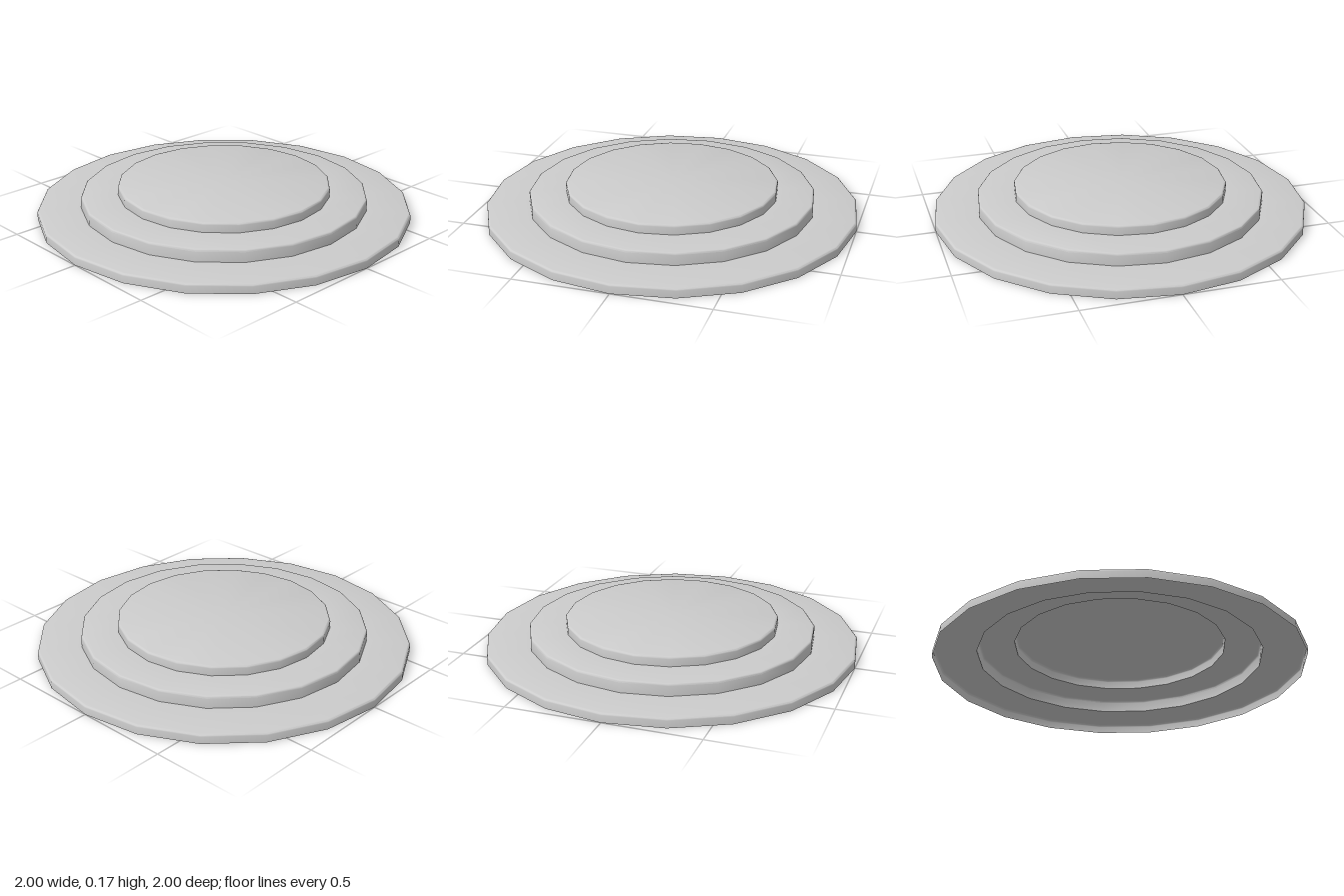
import * as THREE from 'three';
import { toCreasedNormals } from 'three/addons/utils/BufferGeometryUtils.js';

const SIDES = 20;
const BEVEL = 0.012;

// One hollow tier: a wall, a small rounded edge, and a flat tread running inward
function tier(name, radius, bottom, top, innerRadius, material) {
  const points = [new THREE.Vector2(radius, bottom)];
  for (let i = 0; i <= 3; i++) {
    const a = (i / 3) * Math.PI / 2;
    points.push(new THREE.Vector2(
      radius - BEVEL + BEVEL * Math.cos(a),
      top - BEVEL + BEVEL * Math.sin(a)
    ));
  }
  points.push(new THREE.Vector2(innerRadius, top));
  const geometry = toCreasedNormals(new THREE.LatheGeometry(points, SIDES), 0.6);
  const mesh = new THREE.Mesh(geometry, material);
  mesh.name = name;
  return mesh;
}

export function createModel() {
  const model = new THREE.Group();
  model.name = 'steppedPlatform';
  // Thin open shell, visible from below as well
  const material = new THREE.MeshStandardMaterial({ color: 0xcccccc, side: THREE.DoubleSide });

  model.add(
    tier('lowerStep', 1, 0, 0.05, 0.768, material),
    tier('middleStep', 0.768, 0.05, 0.116, 0.57, material),
    tier('topPlatform', 0.57, 0.116, 0.168, 0, material)
  );
  return model;
}
